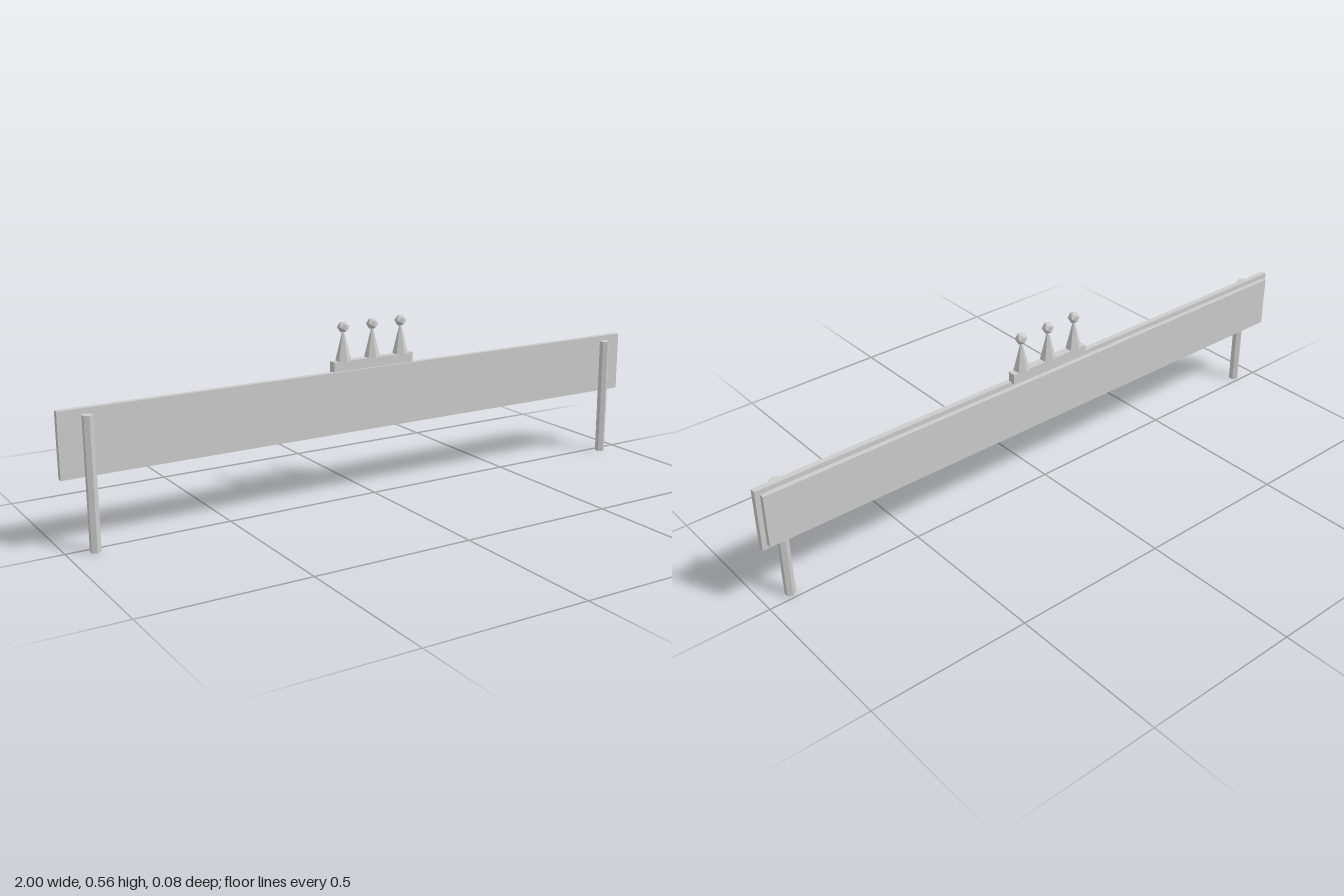
import * as THREE from 'three';

export function createModel() {
  const group = new THREE.Group();
  const material = new THREE.MeshStandardMaterial({ color: 0xcccccc, flatShading: true });

  function add(name, geometry, x, y, z) {
    const mesh = new THREE.Mesh(geometry, material);
    mesh.name = name;
    mesh.position.set(x, y, z);
    group.add(mesh);
  }

  // Long front board with a slightly smaller backing board
  add('frontBoard', new THREE.BoxGeometry(2, 0.193, 0.018), 0, 0.3085, -0.003);
  add('backBoard', new THREE.BoxGeometry(1.97, 0.163, 0.015), 0, 0.3085, -0.0195);

  // Six-sided posts in front of the board
  for (const [name, side] of [['leftPost', 1], ['rightPost', -1]]) {
    add(name, new THREE.CylinderGeometry(0.016, 0.016, 0.39, 6), side * 0.921, 0.195, 0.024);
  }

  // Crest on the top edge: a plinth carrying three spikes with faceted balls
  const crestZ = -0.0133;
  add('crestBase', new THREE.BoxGeometry(0.284, 0.033, 0.025), 0, 0.4185, crestZ);
  for (const [label, x] of [['left', 0.103], ['middle', 0], ['right', -0.103]]) {
    add(label + 'Spike', new THREE.ConeGeometry(0.0245, 0.102, 6), x, 0.486, crestZ);
    add(label + 'Ball', new THREE.IcosahedronGeometry(0.019, 0), x, 0.539, crestZ);
  }
  return group;
}
